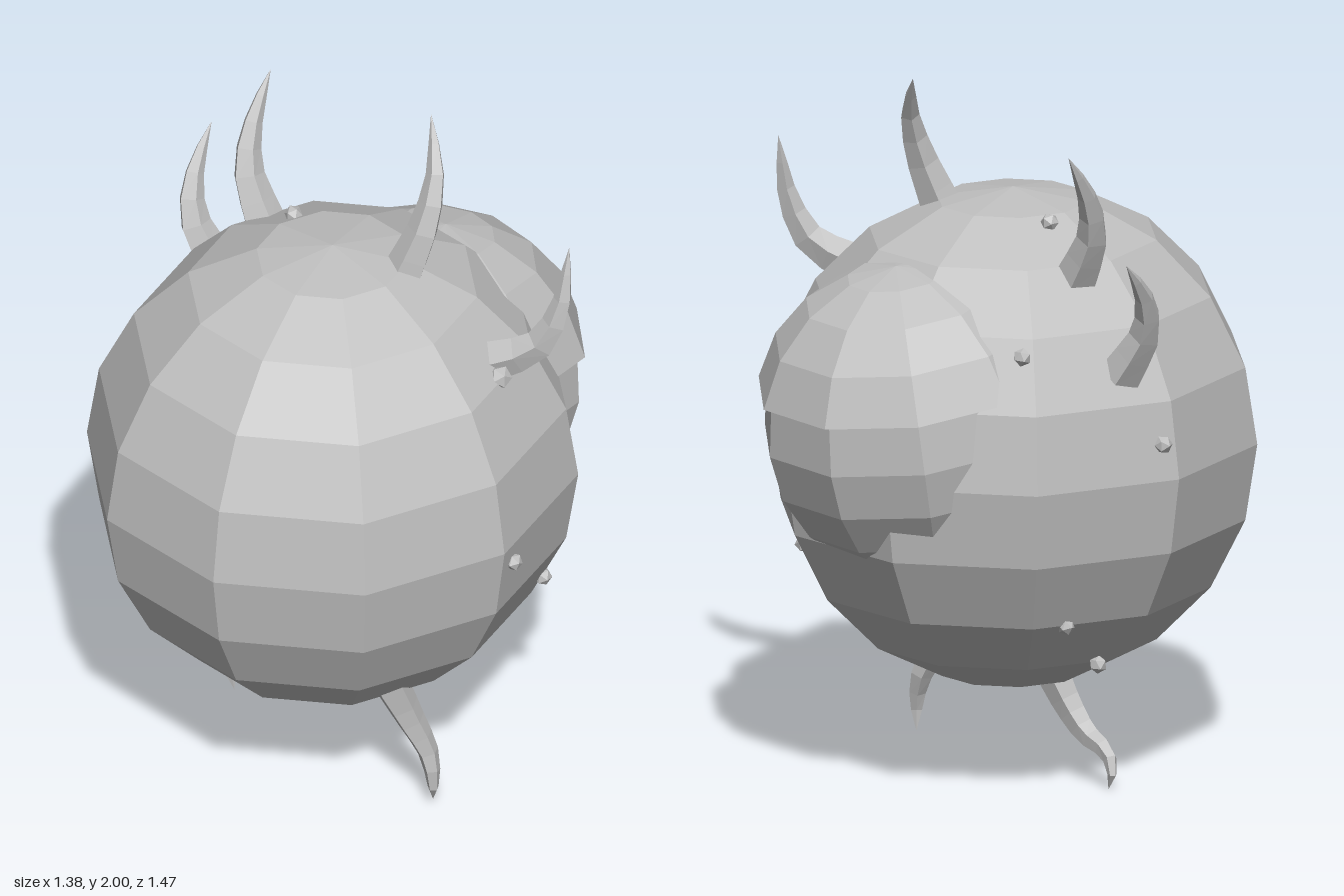
import * as THREE from 'three';

const V = (a) => new THREE.Vector3(...a);

// Tapered, curved spike: a tube whose rings shrink towards the tip
function spikeGeometry(points, radius, taper, sides = 5, segments = 6) {
  const curve = new THREE.CatmullRomCurve3(points.map(V));
  const geo = new THREE.TubeGeometry(curve, segments, radius, sides);
  const pos = geo.attributes.position;
  const v = new THREE.Vector3();
  for (let i = 0; i <= segments; i++) {
    const centre = curve.getPointAt(i / segments);
    const k = Math.max(0.01, Math.pow(1 - i / segments, taper));
    for (let j = 0; j <= sides; j++) {
      const n = i * (sides + 1) + j;
      v.fromBufferAttribute(pos, n).sub(centre).multiplyScalar(k).add(centre);
      pos.setXYZ(n, v.x, v.y, v.z);
    }
  }
  geo.computeVertexNormals();
  return geo;
}

export function createModel() {
  const model = new THREE.Group();
  const grey = new THREE.MeshStandardMaterial({ color: 0xbfbfbf, flatShading: true, side: THREE.DoubleSide });
  grey.name = 'clay grey';

  const add = (name, geo, parent = model) => {
    const mesh = new THREE.Mesh(geo, grey);
    mesh.name = name;
    parent.add(mesh);
    return mesh;
  };

  // Round ten-sided body
  const body = add('body', new THREE.SphereGeometry(1, 10, 10));
  body.scale.set(0.675, 0.703, 0.7);
  body.position.set(0.015, 0.957, 0.07);

  // Large eye with a drooping upper lid, set into the back
  const eye = new THREE.Group();
  eye.name = 'eye';
  eye.position.set(0.01, 1.06, -0.295);
  eye.rotation.set(-0.16, -0.07, 0, 'YXZ');
  model.add(eye);
  add('eyeball', new THREE.SphereGeometry(0.436, 10, 10), eye);

  const polar = (r, step) => {
    const a = (step * Math.PI) / 10;
    return new THREE.Vector2(r * Math.sin(a), r * Math.cos(a));
  };
  const lidProfile = [polar(0.42, 4)];
  for (let step = 4; step >= 0; step--) lidProfile.push(polar(0.458, step));
  add('upperEyelid', new THREE.LatheGeometry(lidProfile, 10, Math.PI / 2), eye);

  // Four curved horns, from root to tip
  const horns = [
    ['tallHorn', 0.062, [[0.17, 1.57, -0.04], [0.205, 1.74, -0.1], [0.19, 1.87, -0.155], [0.105, 2.0, -0.222]]],
    ['upperRightHorn', 0.062, [[-0.35, 1.49, -0.03], [-0.43, 1.63, -0.04], [-0.462, 1.75, -0.09], [-0.478, 1.88, -0.175]]],
    ['lowerRightHorn', 0.062, [[-0.53, 1.25, -0.03], [-0.62, 1.39, -0.015], [-0.66, 1.5, -0.06], [-0.685, 1.61, -0.15]]],
    ['leftHorn', 0.06, [[0.44, 1.39, -0.13], [0.54, 1.45, -0.2], [0.585, 1.57, -0.245], [0.58, 1.757, -0.288]]],
  ];
  for (const [name, radius, path] of horns) add(name, spikeGeometry(path, radius, 0.75), model);

  // Two wavy tentacles below
  add('leftTentacle', spikeGeometry(
    [[0.35, 0.43, 0.19], [0.385, 0.3, 0.145], [0.435, 0.17, 0.11], [0.455, 0.09, 0.115], [0.44, 0.02, 0.1]], 0.055, 0.6, 5, 8));
  add('rightTentacle', spikeGeometry(
    [[-0.12, 0.31, 0.09], [-0.17, 0.21, 0.11], [-0.23, 0.14, 0.12], [-0.315, 0.1, 0.12], [-0.345, 0.055, 0.11], [-0.33, 0.003, 0.11]],
    0.05, 0.6, 5, 9));

  // Small faceted warts scattered on the skin
  const warts = [
    [-0.21, 1.615, 0], [0.5, 1.375, -0.1], [0.665, 0.89, 0.01], [0.49, 0.61, -0.275],
    [-0.435, 1.33, -0.31], [-0.64, 1.06, 0.03], [-0.45, 0.54, -0.16], [-0.385, 0.385, 0.02],
  ];
  warts.forEach((p, i) => {
    const wart = add('wart', new THREE.IcosahedronGeometry(i === 1 ? 0.034 : 0.026, 0));
    wart.position.copy(V(p));
    wart.rotation.set(i, i * 2, 0);
  });

  return model;
}
